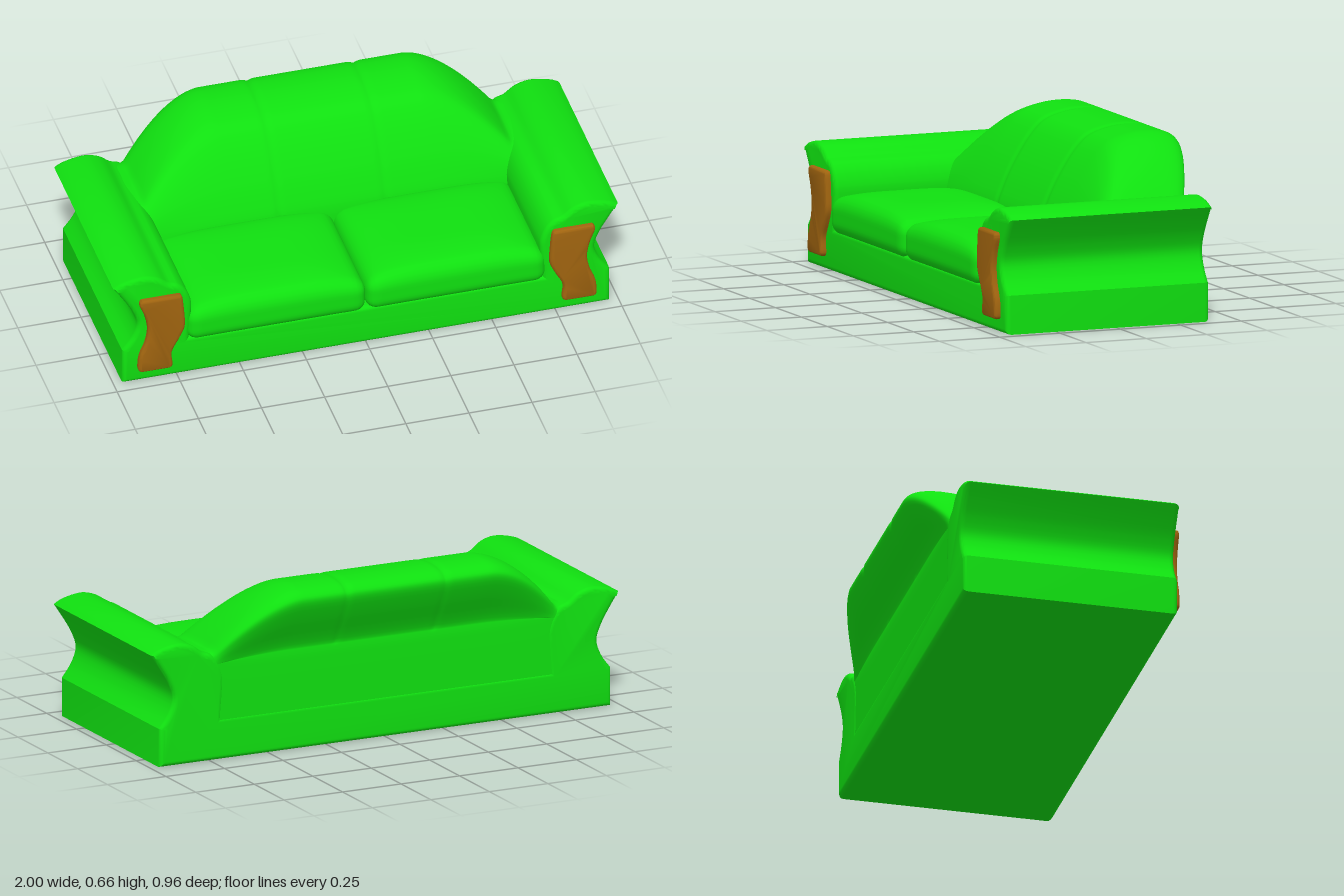
import * as THREE from 'three';
import { mergeVertices, toCreasedNormals } from 'three/addons/utils/BufferGeometryUtils.js';

const fabric = new THREE.MeshStandardMaterial({ color: 0x10e010 });
const wood = new THREE.MeshStandardMaterial({ color: 0xa0640f });

const vec = ([x, y]) => new THREE.Vector2(x, y);
const spline = (pts, n) => new THREE.SplineCurve(pts.map(vec)).getPoints(n);

function addMesh(group, name, geometry, material) {
  const mesh = new THREE.Mesh(geometry, material);
  mesh.name = name;
  group.add(mesh);
}

// Extrudes an outline from z0 to z1 with rounded rims that stay inside it
function extrude(points, z0, z1, bevel) {
  const geo = new THREE.ExtrudeGeometry(new THREE.Shape(points), {
    depth: z1 - z0 - 2 * bevel, bevelSize: bevel, bevelThickness: bevel,
    bevelOffset: -bevel, bevelSegments: 4,
  });
  geo.translate(0, 0, z0 + bevel);
  return toCreasedNormals(geo, 0.6);
}

// Plinth and both flared arms share one outline
function bodyGeometry() {
  const outer = spline([[0.965, 0.155], [0.925, 0.21], [0.906, 0.27], [0.925, 0.33], [0.96, 0.39], [1, 0.45]], 20);
  const top = spline([[1, 0.45], [0.97, 0.466], [0.92, 0.479], [0.87, 0.482], [0.82, 0.466], [0.78, 0.436],
    [0.745, 0.424], [0.715, 0.395], [0.695, 0.35], [0.69, 0.3], [0.7, 0.17]], 36).slice(1);
  const half = [vec([0.965, 0.004]), ...outer, ...top];
  const mirrored = half.map((p) => new THREE.Vector2(-p.x, p.y)).reverse();
  return extrude([...half, ...mirrored], -0.385, 0.457, 0.02);
}

// Rounded box, puffed up along the middle of its top
function cushionGeometry(w, h, d, r) {
  const geo = new THREE.BoxGeometry(w, h, d, 36, 12, 28);
  const pos = geo.attributes.position;
  const p = new THREE.Vector3(), core = new THREE.Vector3();
  const limit = new THREE.Vector3(w / 2 - r, h / 2 - r, d / 2 - r);
  const low = limit.clone().negate();
  for (let i = 0; i < pos.count; i++) {
    p.fromBufferAttribute(pos, i);
    core.copy(p).clamp(low, limit);
    p.sub(core).normalize().multiplyScalar(r).add(core);
    const u = 2 * p.x / w, v = 2 * p.z / d;
    const puff = (1 - u ** 4) * (1 - 0.6 * v ** 4);
    p.y += 0.045 * puff * (p.y / h + 0.5);
    pos.setXYZ(i, p.x, p.y, p.z);
  }
  geo.deleteAttribute('uv');
  geo.deleteAttribute('normal');
  const merged = mergeVertices(geo, 1e-5);
  merged.computeVertexNormals();
  return merged;
}

// Backrest: (z, y) sections blended from a tall rolled crest to a low shoulder
function backrestGeometry() {
  const M = 56, N = 140, halfWidth = 0.78;
  const tall = spline([[0, 0.1], [0, 0.28], [-0.03, 0.38], [-0.08, 0.48], [-0.14, 0.57], [-0.2, 0.628],
    [-0.28, 0.655], [-0.36, 0.663], [-0.43, 0.656], [-0.47, 0.637], [-0.48, 0.605], [-0.445, 0.53],
    [-0.383, 0.42], [-0.382, 0.36], [-0.382, 0.1]], M);
  const low = spline([[0, 0.1], [0, 0.25], [-0.01, 0.32], [-0.03, 0.37], [-0.06, 0.405], [-0.1, 0.423],
    [-0.2, 0.43], [-0.28, 0.43], [-0.33, 0.43], [-0.36, 0.425], [-0.375, 0.415], [-0.38, 0.4],
    [-0.382, 0.38], [-0.382, 0.36], [-0.382, 0.1]], M);
  const verts = [], index = [];
  for (let i = 0; i <= N; i++) {
    const x = halfWidth * (2 * i / N - 1);
    const u = Math.min(1, Math.max(0, (Math.abs(x) - 0.4) / 0.33));
    const k = 1 - u ** 1.75;
    // Shallow seams divide the back into three panels
    const seam = 1 - 0.022 * Math.exp(-(((Math.abs(x) - 0.21) / 0.012) ** 2));
    for (let j = 0; j <= M; j++) {
      const z = low[j].x + (tall[j].x - low[j].x) * k;
      const y = low[j].y + (tall[j].y - low[j].y) * k;
      const s = y > 0.4 || z > -0.2 ? seam : 1;
      verts.push(x, 0.4 + (y - 0.4) * s, -0.25 + (z + 0.25) * s);
      if (i < N && j < M) {
        const a = i * (M + 1) + j, b = a + M + 1;
        index.push(a, b, b + 1, a, b + 1, a + 1);
      }
    }
  }
  const geo = new THREE.BufferGeometry();
  geo.setAttribute('position', new THREE.Float32BufferAttribute(verts, 3));
  geo.setIndex(index);
  geo.computeVertexNormals();
  return geo;
}

// Curved wooden facing on the front of an arm
function facingGeometry(side) {
  const inner = spline([[0.745, 0.39], [0.733, 0.375], [0.725, 0.3], [0.724, 0.24], [0.745, 0.19],
    [0.775, 0.13], [0.772, 0.07], [0.785, 0.056]], 28);
  const outer = spline([[0.895, 0.056], [0.908, 0.07], [0.903, 0.13], [0.88, 0.19], [0.87, 0.25],
    [0.88, 0.31], [0.902, 0.37], [0.893, 0.39]], 28);
  const outline = [...inner, ...outer].map((p) => new THREE.Vector2(side * p.x, p.y));
  return extrude(outline, 0.44, 0.48, 0.012);
}

export function createModel() {
  const sofa = new THREE.Group();
  sofa.name = 'sofa';
  addMesh(sofa, 'baseAndArms', bodyGeometry(), fabric);
  addMesh(sofa, 'backrest', backrestGeometry(), fabric);
  for (const [side, label] of [[1, 'left'], [-1, 'right']]) {
    const cushion = cushionGeometry(0.712, 0.133, 0.525, 0.045);
    cushion.translate(side * 0.356, 0.2205, 0.2125);
    addMesh(sofa, label + 'SeatCushion', cushion, fabric);
    addMesh(sofa, label + 'ArmFacing', facingGeometry(side), wood);
  }
  return sofa;
}
